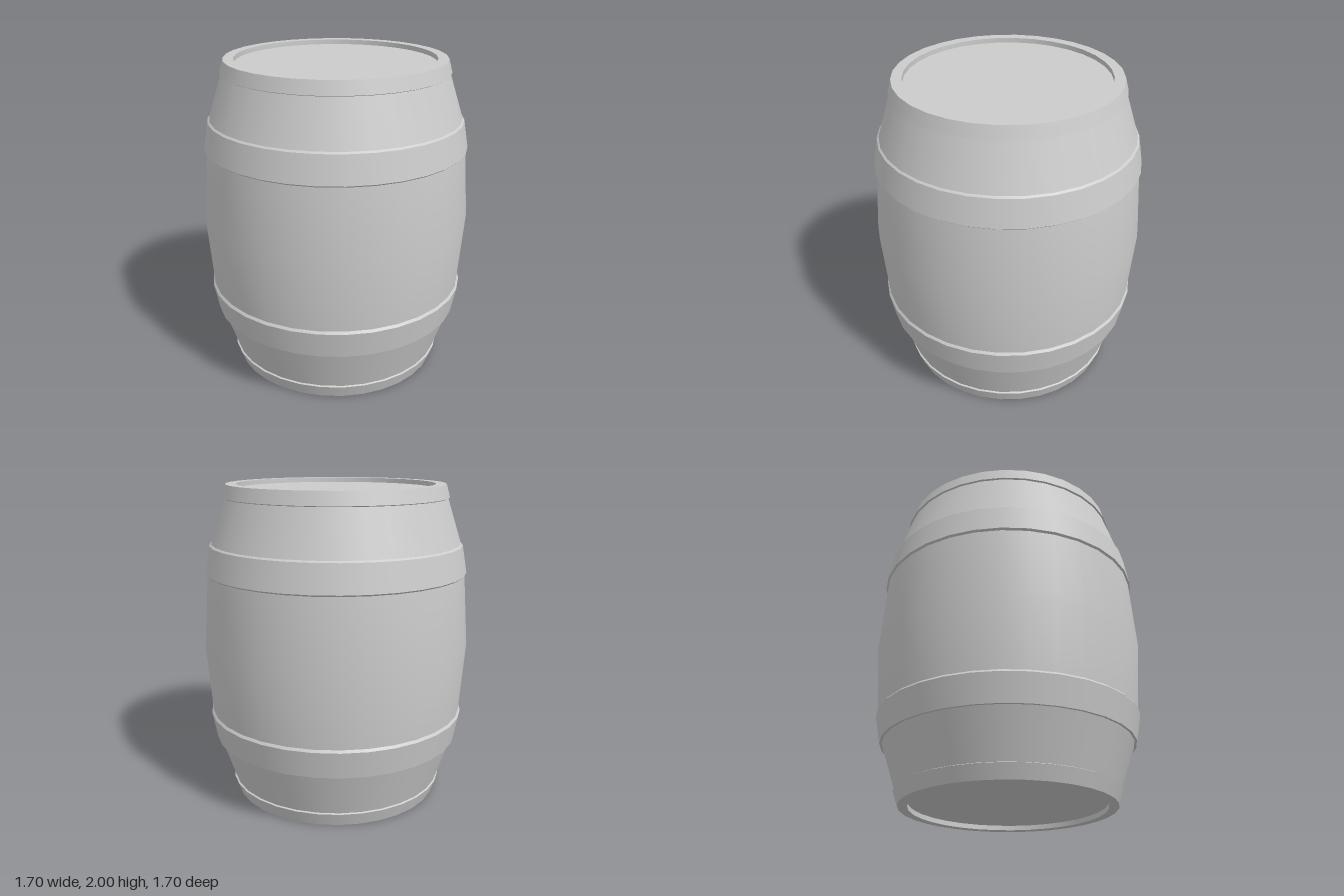
import * as THREE from 'three';
import { mergeGeometries } from 'three/addons/utils/BufferGeometryUtils.js';

const SIDES = 32;
const material = new THREE.MeshStandardMaterial({ color: 0xcccccc });

// Revolve smooth runs of [radius, y] points; each run meets the next at a hard edge.
function revolve(name, ...runs) {
  const lathes = runs.map(run =>
    new THREE.LatheGeometry(run.map(([r, y]) => new THREE.Vector2(r, y)), SIDES));
  const mesh = new THREE.Mesh(mergeGeometries(lathes), material);
  mesh.name = name;
  return mesh;
}

// Hoop band standing proud of the staves: lower lip, outer face, upper lip.
function hoop(name, innerLow, low, high, innerHigh) {
  return revolve(name, [innerLow, low], [low, high], [high, innerHigh]);
}

export function createModel() {
  const barrel = new THREE.Group();
  barrel.name = 'barrel';

  // Staves: tapered lower and upper parts and the bulging belly
  barrel.add(
    revolve('lowerStaves', [[0.685, 0.09], [0.78, 0.375]]),
    revolve('bellyStaves', [[0.815, 0.56], [0.848, 1], [0.815, 1.45]]),
    revolve('upperStaves', [[0.785, 1.64], [0.697, 1.915]]),
  );

  // Two wide hoops around the belly
  barrel.add(
    hoop('lowerHoop', [0.78, 0.375], [0.795, 0.375], [0.827, 0.545], [0.815, 0.56]),
    hoop('upperHoop', [0.815, 1.45], [0.827, 1.46], [0.797, 1.63], [0.785, 1.64]),
  );

  // End hoops, turning over the rim and down into the recess
  barrel.add(
    revolve('bottomRim',
      [[0.605, 0.03], [0.605, 0]],
      [[0.605, 0], [0.665, 0]],
      [[0.665, 0], [0.695, 0.085]],
      [[0.695, 0.085], [0.685, 0.09]]),
    revolve('topRim',
      [[0.697, 1.915], [0.707, 1.92]],
      [[0.707, 1.92], [0.685, 2]],
      [[0.685, 2], [0.62, 2]],
      [[0.62, 2], [0.62, 1.97]]),
  );

  // Flat recessed heads
  barrel.add(
    revolve('bottomHead', [[0, 0.03], [0.605, 0.03]]),
    revolve('topHead', [[0.62, 1.97], [0, 1.97]]),
  );

  return barrel;
}
